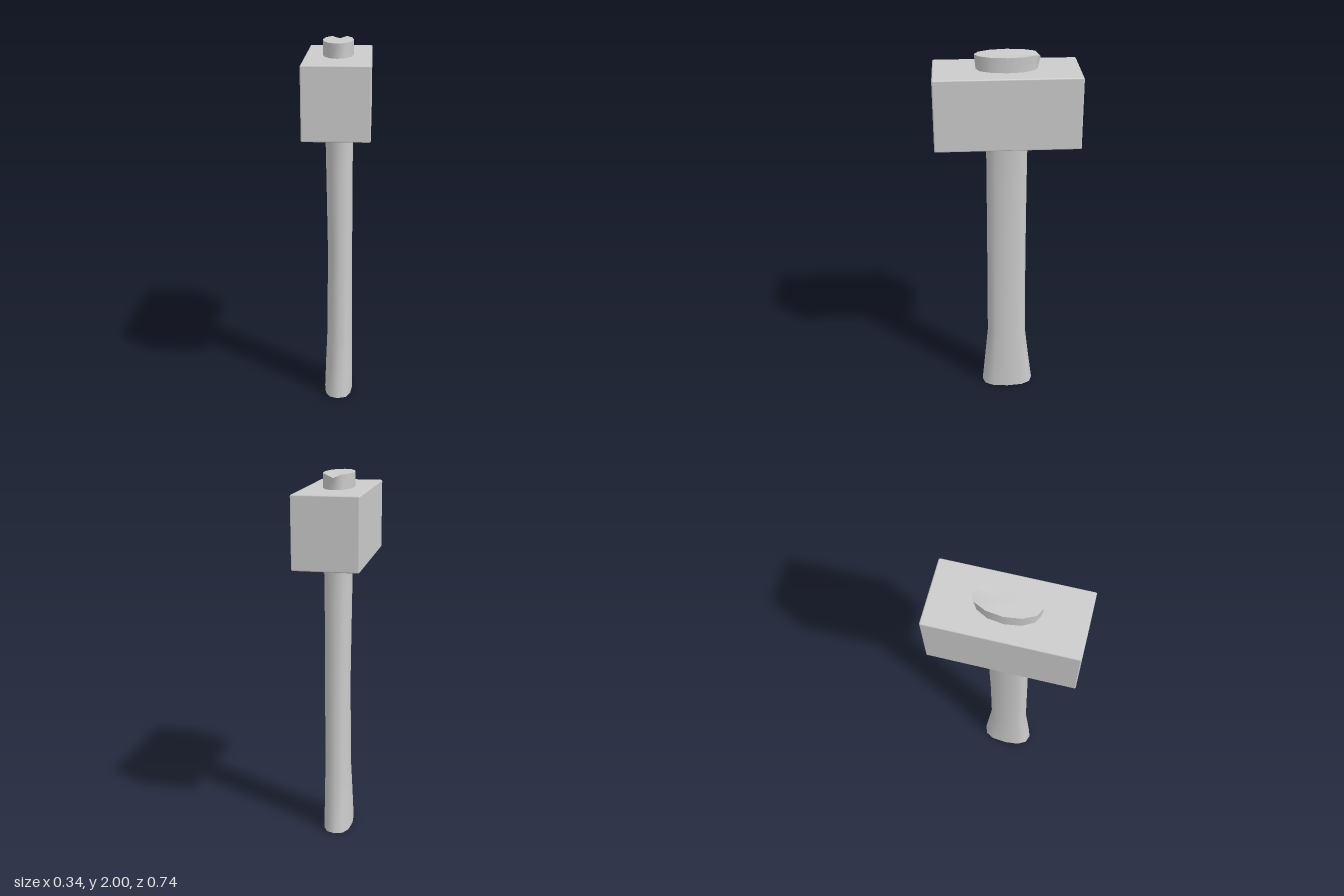
import * as THREE from 'three';
import { RoundedBoxGeometry } from 'three/addons/geometries/RoundedBoxGeometry.js';

const SIDES = 12;

// Handle sections from bottom to top: y, left/right x limits, back/front z limits, roundness
const SECTIONS = [
  [0.00, -0.08, 0.078, -0.15, 0.142, 0.8],
  [0.18, -0.073, 0.077, -0.128, 0.125, 0.8],
  [0.36, -0.065, 0.075, -0.108, 0.108, 0.8],
  [0.85, -0.06, 0.074, -0.106, 0.106, 0.8],
  [1.30, -0.067, 0.074, -0.108, 0.105, 0.8],
  [1.52, -0.071, 0.076, -0.11, 0.105, 0.8],
  [1.545, -0.074, 0.078, -0.12, 0.115, 0.85],
  [1.56, -0.08, 0.08, -0.165, 0.165, 1],
  [1.92, -0.082, 0.078, -0.157, 0.152, 1],
  [2.00, -0.081, 0.078, -0.17, 0.16, 1],
];

// One oval ring, counter-clockwise seen from above
function ring([y, x0, x1, z0, z1, power], isTop) {
  const shape = (v) => Math.sign(v) * Math.pow(Math.abs(v), power);
  return Array.from({ length: SIDES }, (_, j) => {
    const a = (j / SIDES) * Math.PI * 2;
    const sx = shape(Math.sin(a)), sz = shape(Math.cos(a));
    // the back tip of the top end is slightly worn down
    const drop = isTop && j === SIDES / 2 ? 0.015 : 0;
    return [(x0 + x1) / 2 + (sx * (x1 - x0)) / 2, y - drop, (z0 + z1) / 2 + (sz * (z1 - z0)) / 2];
  });
}

function handleGeometry() {
  const rings = SECTIONS.map((s, i) => ring(s, i === SECTIONS.length - 1));
  const points = rings.flat();
  const index = [];

  // smooth side surface
  for (let i = 0; i < rings.length - 1; i++) {
    for (let j = 0; j < SIDES; j++) {
      const k = (j + 1) % SIDES;
      const a = i * SIDES + j, b = i * SIDES + k;
      index.push(a, b, b + SIDES, a, b + SIDES, a + SIDES);
    }
  }

  // end caps with their own vertices, so the rims stay sharp
  const cap = (r, y, up) => {
    const start = points.length;
    points.push([0, y, 0], ...r);
    for (let j = 0; j < SIDES; j++) {
      const p = start + 1 + j, q = start + 1 + ((j + 1) % SIDES);
      index.push(start, up ? p : q, up ? q : p);
    }
  };
  cap(rings[0], 0, false);
  cap(rings[rings.length - 1], 2, true);

  const geometry = new THREE.BufferGeometry();
  geometry.setAttribute('position', new THREE.Float32BufferAttribute(points.flat(), 3));
  geometry.setIndex(index);
  geometry.computeVertexNormals();
  return geometry;
}

export function createModel() {
  const group = new THREE.Group();
  group.name = 'mallet';
  const material = new THREE.MeshStandardMaterial({ color: 0xcccccc });

  // block head with finely bevelled edges
  const head = new THREE.Mesh(new RoundedBoxGeometry(0.342, 0.373, 0.74, 1, 0.007), material);
  head.name = 'head';
  head.position.y = 1.738;

  // oval handle running through the head, flared at both ends
  const handle = new THREE.Mesh(handleGeometry(), material);
  handle.name = 'handle';

  group.add(head, handle);
  return group;
}
